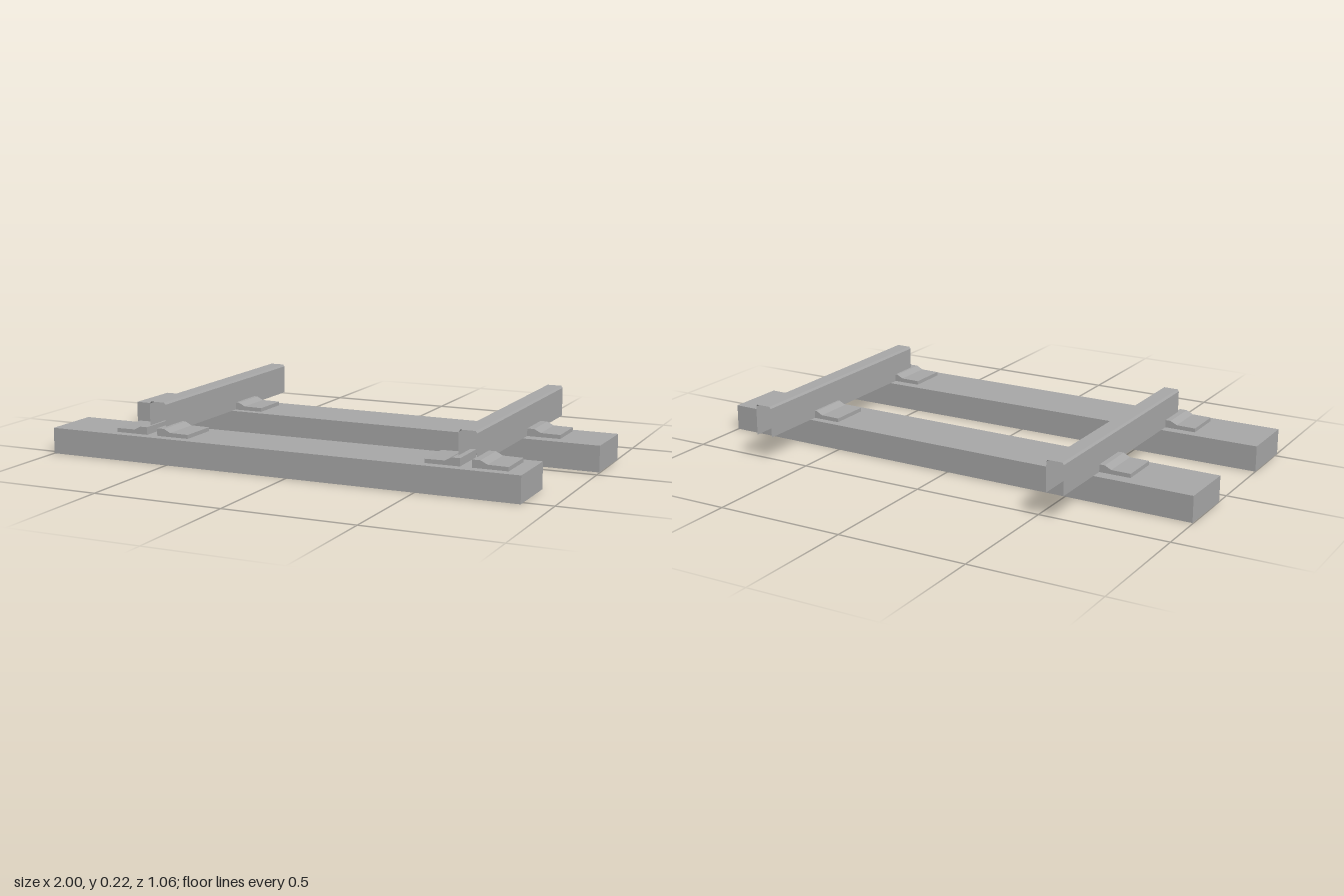
import * as THREE from 'three';

const steel = new THREE.MeshStandardMaterial({ color: 0xa6a6a6, side: THREE.DoubleSide });
steel.name = 'plain grey';

// Box shell without its underside
function openBox(w, h, d) {
  const g = new THREE.BoxGeometry(w, h, d);
  const index = Array.from(g.index.array);
  index.splice(18, 6);
  g.setIndex(index);
  g.clearGroups();
  return g;
}

// Thin sheet swept along z from an open cross-section, flat shaded
function sheet(profile, z0, z1) {
  const pos = [];
  for (let i = 0; i < profile.length - 1; i++) {
    const [ax, ay] = profile[i], [bx, by] = profile[i + 1];
    pos.push(ax, ay, z1, bx, by, z1, bx, by, z0);
    pos.push(ax, ay, z1, bx, by, z0, ax, ay, z0);
  }
  const g = new THREE.BufferGeometry();
  g.setAttribute('position', new THREE.Float32BufferAttribute(pos, 3));
  g.computeVertexNormals();
  return g;
}

// Half of a rail fastening: flat pad rising to a raised lip beside the rail
function clampGeometry(side) {
  const s = new THREE.Shape([
    [0.022, 0.1], [0.154, 0.1], [0.154, 0.115], [0.078, 0.116],
    [0.052, 0.129], [0.022, 0.129],
  ].map(([x, y]) => new THREE.Vector2(side * x, y)));
  return new THREE.ExtrudeGeometry(s, { depth: 0.158, bevelEnabled: false });
}

export function createModel() {
  const root = new THREE.Group();
  root.name = 'trackSection';
  const add = (name, geometry, x = 0, y = 0, z = 0) => {
    const m = new THREE.Mesh(geometry, steel);
    m.name = name;
    m.position.set(x, y, z);
    root.add(m);
    return m;
  };

  // Sleepers: the rear one is longer and slightly skewed
  add('frontSleeper', openBox(1.888, 0.1, 0.235), -0.056, 0.05, 0.409);
  add('rearSleeper', openBox(1.998, 0.1, 0.235), 0, 0.05, -0.173).rotation.y = -0.0145;

  // Hollow rails, open below and at both ends
  const profile = [
    [0.034, 0.1], [0.034, 0.213], [0.028, 0.221],
    [-0.028, 0.221], [-0.034, 0.213], [-0.034, 0.1],
  ];
  add('rightRail', sheet(profile, -0.53, 0.45), -0.578);
  add('leftRail', sheet(profile, -0.53, 0.45), 0.667);

  // Clamps on each side of every rail crossing
  for (const x of [-0.581, 0.676])
    for (const z of [-0.252, 0.33])
      for (const side of [-1, 1]) add('railClamp', clampGeometry(side), x, 0, z);

  return root;
}
